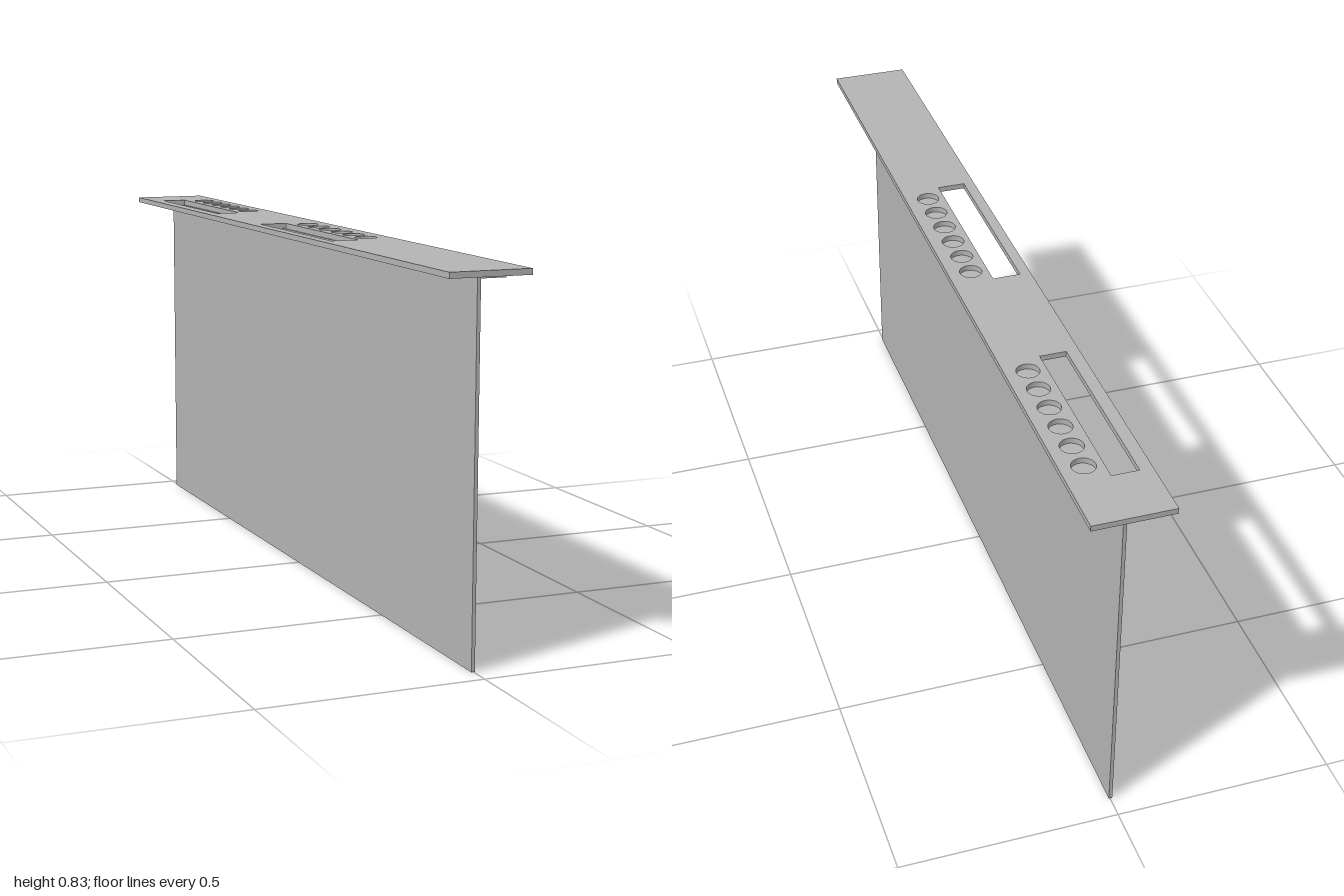
import * as THREE from 'three';

const grey = new THREE.MeshStandardMaterial({ color: 0xb3b3b3 });
grey.name = 'grey';

// Rectangle outline in plan: x across, z along (shape y is -z)
function rect(path, x0, x1, z0, z1) {
  path.moveTo(x0, -z1);
  path.lineTo(x1, -z1);
  path.lineTo(x1, -z0);
  path.lineTo(x0, -z0);
  path.closePath();
  return path;
}

function box(name, x0, x1, y0, y1, z0, z1) {
  const mesh = new THREE.Mesh(new THREE.BoxGeometry(x1 - x0, y1 - y0, z1 - z0), grey);
  mesh.position.set((x0 + x1) / 2, (y0 + y1) / 2, (z0 + z1) / 2);
  mesh.name = name;
  return mesh;
}

export function createModel() {
  const group = new THREE.Group();
  group.name = 'slottedPanel';

  // Top plate with two long slots, each beside a row of six round holes
  const plate = rect(new THREE.Shape(), -0.092, 0.092, -1, 1);
  const sets = [
    { slot: [-0.063, -0.002, -0.862, -0.42], holeX: 0.04, holeZ: -0.815 },
    { slot: [-0.067, -0.002, -0.09, 0.35], holeX: 0.038, holeZ: -0.045 },
  ];
  for (const { slot, holeX, holeZ } of sets) {
    plate.holes.push(rect(new THREE.Path(), ...slot));
    for (let i = 0; i < 6; i++) {
      const hole = new THREE.Path();
      hole.absarc(holeX, -(holeZ + i * 0.07), 0.026, 0, Math.PI * 2, true);
      plate.holes.push(hole);
    }
  }
  const plateGeometry = new THREE.ExtrudeGeometry(plate, {
    depth: 0.013, bevelEnabled: false, curveSegments: 16,
  });
  plateGeometry.rotateX(-Math.PI / 2);
  const top = new THREE.Mesh(plateGeometry, grey);
  top.position.y = 0.822;
  top.name = 'topPlate';
  group.add(top);

  // Upright panel and the narrow ledge under the holes
  group.add(box('uprightPanel', -0.005, 0.003, 0, 0.822, -0.95, 0.95));
  group.add(box('ledge', 0.003, 0.06, 0.813, 0.822, -0.95, 0.95));
  return group;
}
